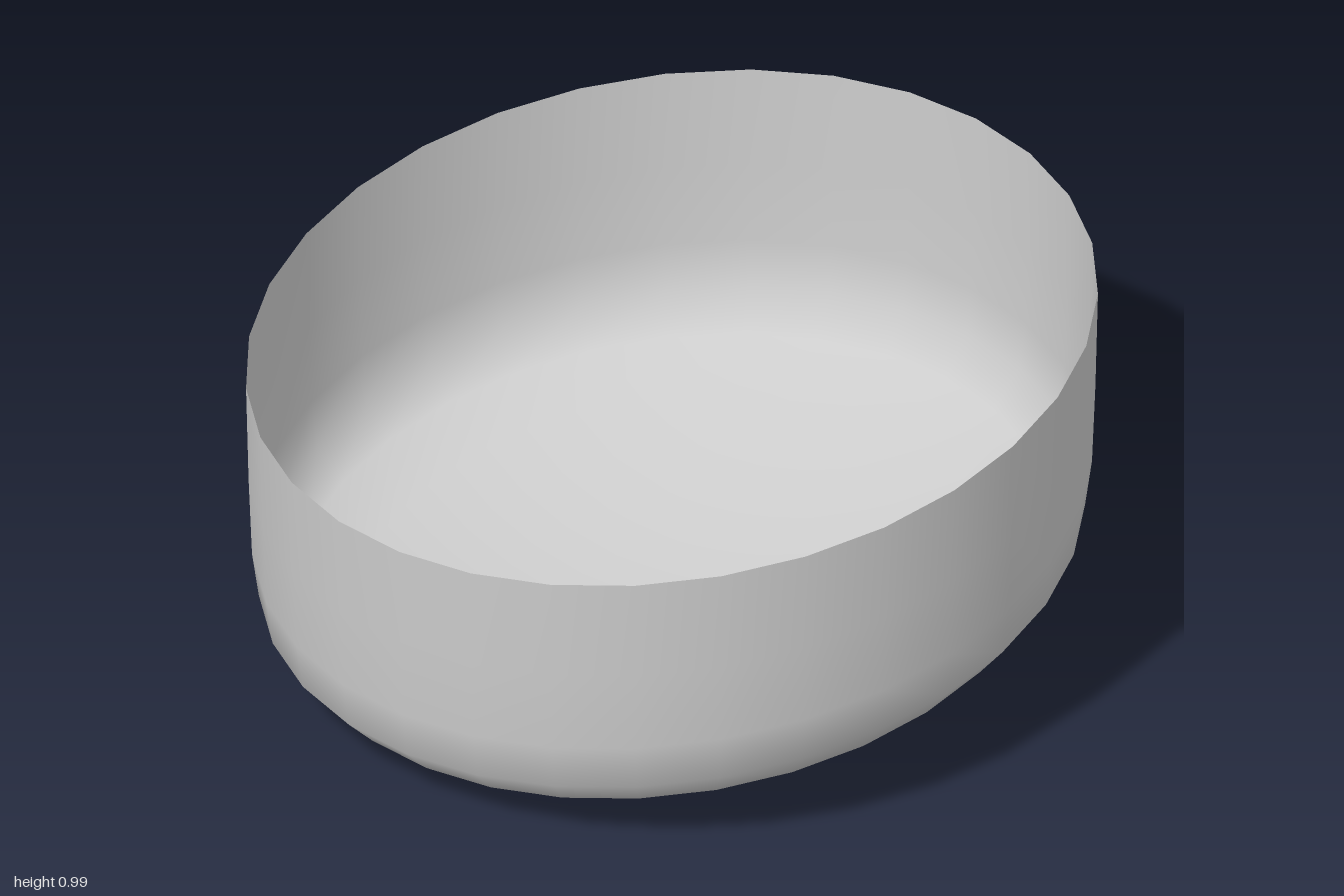
import * as THREE from 'three';

export function createModel() {
  const group = new THREE.Group();
  group.name = 'openBowl';

  // Shallow domed base, rounded corner, then a nearly upright wall
  const profile = [];
  for (let i = 0; i <= 6; i++) {
    const r = 0.9 * i / 6;
    profile.push(new THREE.Vector2(r, 0.021 + 0.205 * r * r));
  }
  for (const [r, y] of [[0.97, 0.27], [0.986, 0.39], [0.994, 0.6], [1, 0.86]]) {
    profile.push(new THREE.Vector2(r, y));
  }

  const geometry = new THREE.LatheGeometry(profile, 31, Math.PI / 2);

  // Shear upward toward the left and back so the walls stay vertical
  geometry.applyMatrix4(new THREE.Matrix4().set(
    1, 0, 0, 0,
    0.107, 1, -0.077, 0,
    0, 0, 1, 0,
    0, 0, 0, 1
  ));

  const material = new THREE.MeshStandardMaterial({ color: 0xcccccc, side: THREE.DoubleSide });
  const shell = new THREE.Mesh(geometry, material);
  shell.name = 'bowlShell';
  group.add(shell);
  return group;
}
